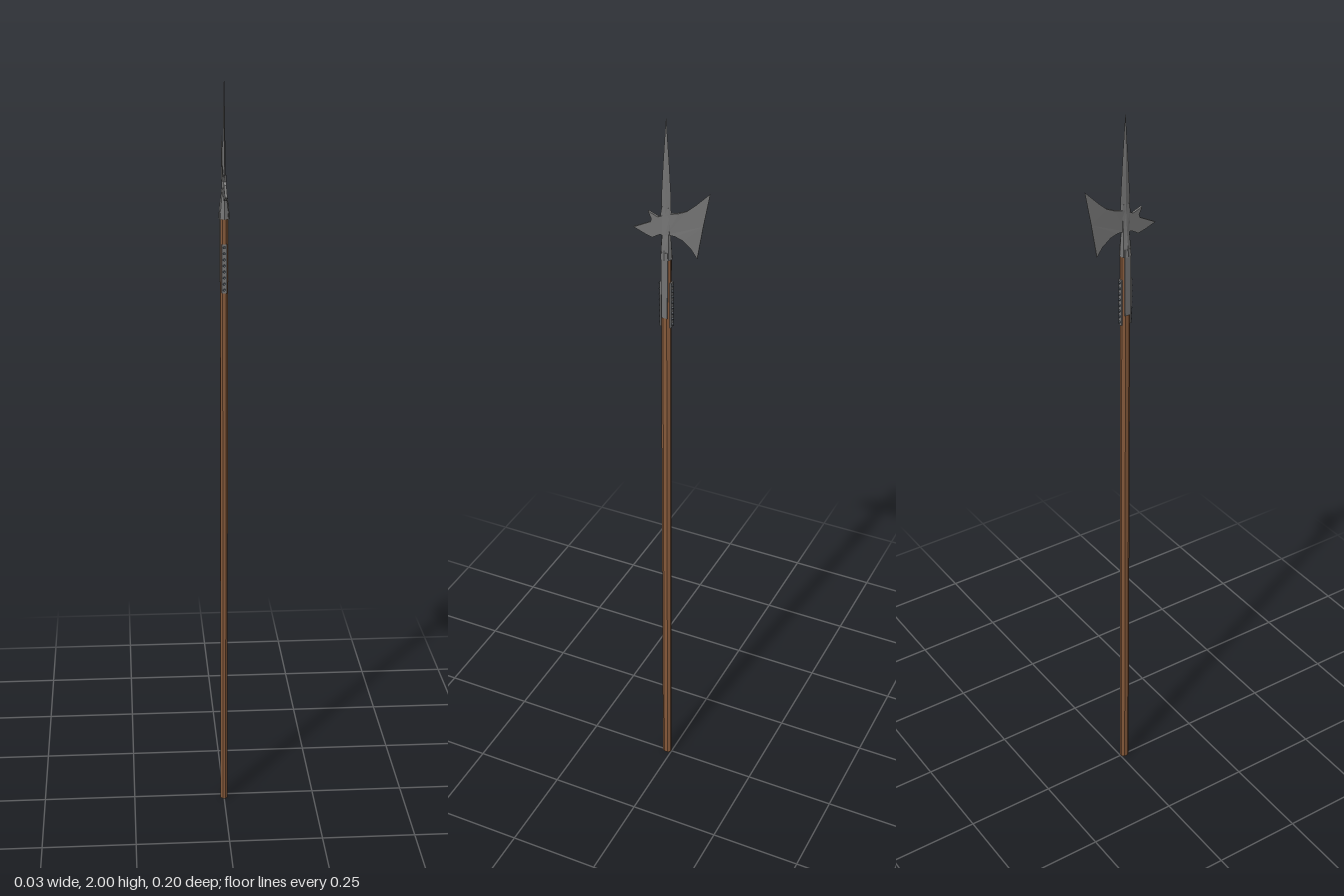
import * as THREE from 'three';

const CZ = 0.014; // z of the shaft axis

export function createModel() {
  const mat = (name, color) => {
    const m = new THREE.MeshStandardMaterial({ color, flatShading: true });
    m.name = name;
    return m;
  };
  const wood = mat('wood', 0x85593a);
  const steel = mat('steel', 0x737373);
  const darkSteel = mat('dark steel', 0x555c64);

  const group = new THREE.Group();
  group.name = 'halberd';
  const add = (name, geo, material, x = 0, y = 0, z = 0) => {
    const mesh = new THREE.Mesh(geo, material);
    mesh.name = name;
    mesh.position.set(x, y, z);
    group.add(mesh);
    return mesh;
  };

  // Skin through oval sections [y, half width x, half depth z], bottom to top
  const loft = (sections, sides, turn = 0) => {
    const pos = [], idx = [];
    sections.forEach(([y, rx, rz]) => {
      for (let i = 0; i < sides; i++) {
        const a = turn + (i / sides) * Math.PI * 2;
        pos.push(Math.sin(a) * rx, y, Math.cos(a) * rz);
      }
    });
    for (let s = 0; s < sections.length - 1; s++) {
      for (let i = 0; i < sides; i++) {
        const a = s * sides + i, b = s * sides + (i + 1) % sides;
        idx.push(a, b, b + sides, a, b + sides, a + sides);
      }
    }
    const g = new THREE.BufferGeometry();
    g.setAttribute('position', new THREE.Float32BufferAttribute(pos, 3));
    g.setIndex(idx);
    g.computeVertexNormals();
    return g;
  };

  // Plate cut from an outline of [z, y] points, thinned by a rule along z
  const plate = (outline, half, thin) => {
    const shape = new THREE.Shape(outline.map(([z, y]) => new THREE.Vector2(-z, y)));
    const g = new THREE.ExtrudeGeometry(shape, { depth: 2 * half, bevelEnabled: false });
    g.translate(0, 0, -half);
    g.rotateY(Math.PI / 2);
    const p = g.attributes.position;
    for (let i = 0; i < p.count; i++) p.setX(i, p.getX(i) * thin(p.getZ(i)));
    g.computeVertexNormals();
    return g;
  };

  // Eight-sided wooden shaft
  add('shaft', loft([[0, 0, 0], [0, 0.0105, 0.0135], [1.66, 0.0105, 0.0135], [1.66, 0, 0]],
    8, Math.PI / 8), wood, 0, 0, CZ);

  // Socket flaring at its mouth and narrowing into the head
  add('socket', loft([[1.635, 0, 0], [1.635, 0.0145, 0.016], [1.66, 0.0125, 0.0145],
    [1.70, 0.0075, 0.012], [1.75, 0.004, 0.015], [1.77, 0.003, 0.012], [1.77, 0, 0]], 8),
    steel, 0, 0, CZ);

  // Long thrusting spike with a diamond section
  add('topSpike', loft([[1.74, 0, 0], [1.74, 0.004, 0.013], [1.79, 0.0035, 0.013],
    [1.88, 0.0025, 0.008], [2.0, 0, 0]], 4), steel, 0, 0, CZ);

  // Flaring axe blade, thinning toward its edge
  add('axeBlade', plate([
    [0.012, 1.755], [-0.003, 1.757], [-0.02, 1.762], [-0.04, 1.771], [-0.062, 1.79],
    [-0.10, 1.828], [-0.083, 1.74], [-0.068, 1.652], [-0.052, 1.675], [-0.03, 1.693],
    [-0.01, 1.70], [0.012, 1.70],
  ], 0.0035, (z) => THREE.MathUtils.clamp((z + 0.101) / 0.08, 0.05, 1)), steel);

  // Beaked fluke opposite the blade
  add('fluke', plate([
    [0.012, 1.695], [0.03, 1.697], [0.05, 1.685], [0.068, 1.69], [0.10, 1.702],
    [0.055, 1.725], [0.052, 1.733], [0.061, 1.752], [0.035, 1.742], [0.012, 1.752],
  ], 0.0032, () => 1), steel);

  for (const s of [-1, 1]) {
    // Tapered straps on the shaft's broad sides
    const strap = new THREE.BoxGeometry(0.003, 0.18, 0.018);
    const p = strap.attributes.position;
    for (let i = 0; i < p.count; i++) if (p.getY(i) < 0) p.setZ(i, p.getZ(i) * 0.85);
    add('sideStrap', strap, steel, s * 0.0108, 1.565, CZ);

    // Short straps on the edges, studded with rivets
    add('edgeStrap', new THREE.BoxGeometry(0.013, 0.125, 0.004), steel, 0, 1.51, CZ + s * 0.0135);
    for (let i = 0; i < 8; i++) {
      const rivet = add('rivet', new THREE.CylinderGeometry(0.003, 0.004, 0.005, 6),
        darkSteel, 0, 1.456 + i * 0.0155, CZ + s * 0.0172);
      rivet.rotation.x = s * Math.PI / 2;
    }
  }
  return group;
}
